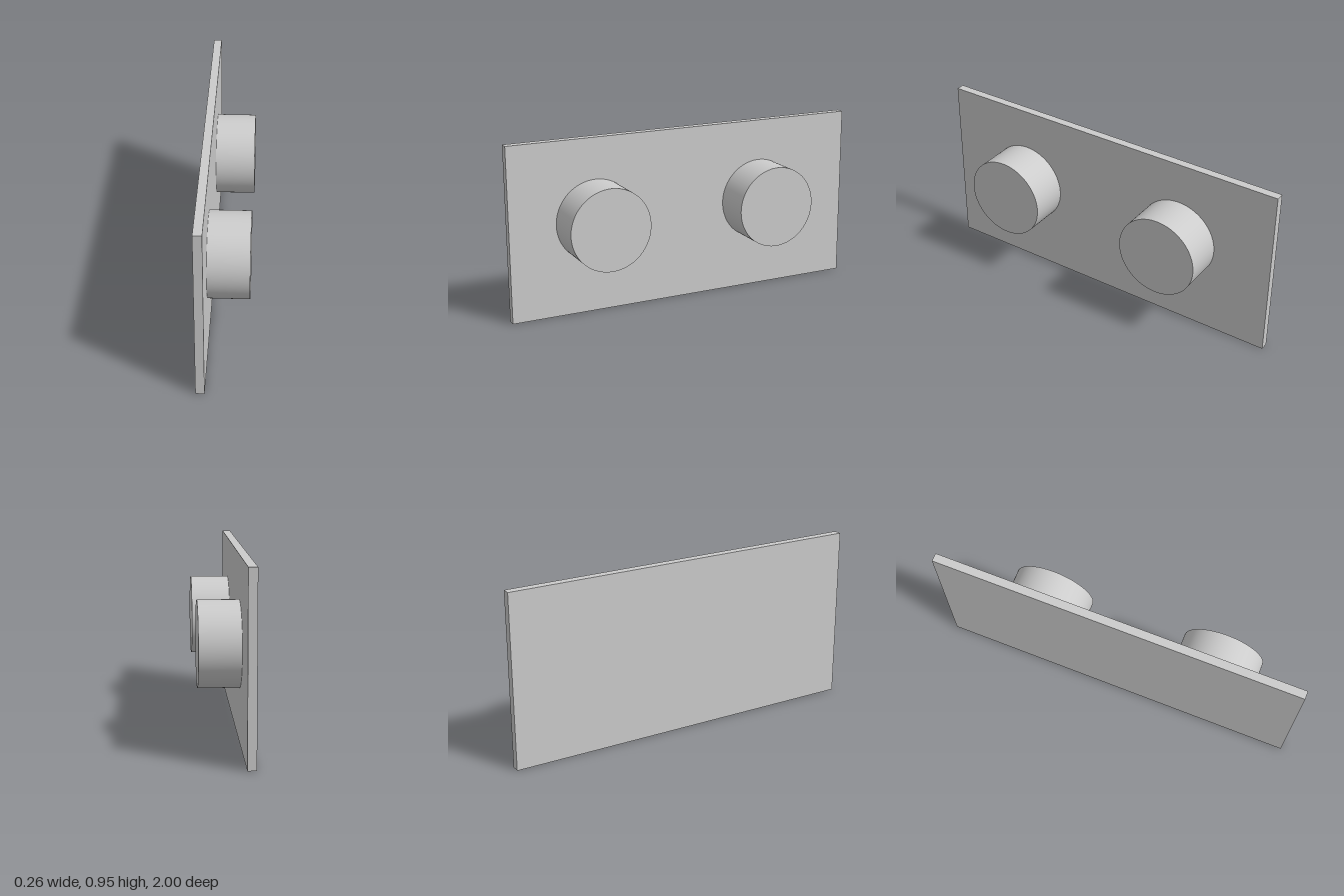
import * as THREE from 'three';

export function createModel() {
  const model = new THREE.Group();
  const material = new THREE.MeshStandardMaterial({ color: 0xcccccc });
  const halfWidth = 0.129;
  const plateThickness = 0.045;
  const plateHeight = 0.948;

  // Upright rectangular plate
  const plate = new THREE.Mesh(new THREE.BoxGeometry(plateThickness, plateHeight, 2), material);
  plate.name = 'plate';
  plate.position.set(-halfWidth + plateThickness / 2, plateHeight / 2, 0);
  model.add(plate);

  // Two round pegs standing out from the plate along +x
  const pegLength = 2 * halfWidth - plateThickness;
  const pegGeometry = new THREE.CylinderGeometry(0.222, 0.222, pegLength, 96).rotateZ(-Math.PI / 2);
  for (const [name, z] of [['frontPeg', 0.522], ['backPeg', -0.453]]) {
    const peg = new THREE.Mesh(pegGeometry, material);
    peg.name = name;
    peg.position.set(halfWidth - pegLength / 2, 0.502, z);
    model.add(peg);
  }

  return model;
}
